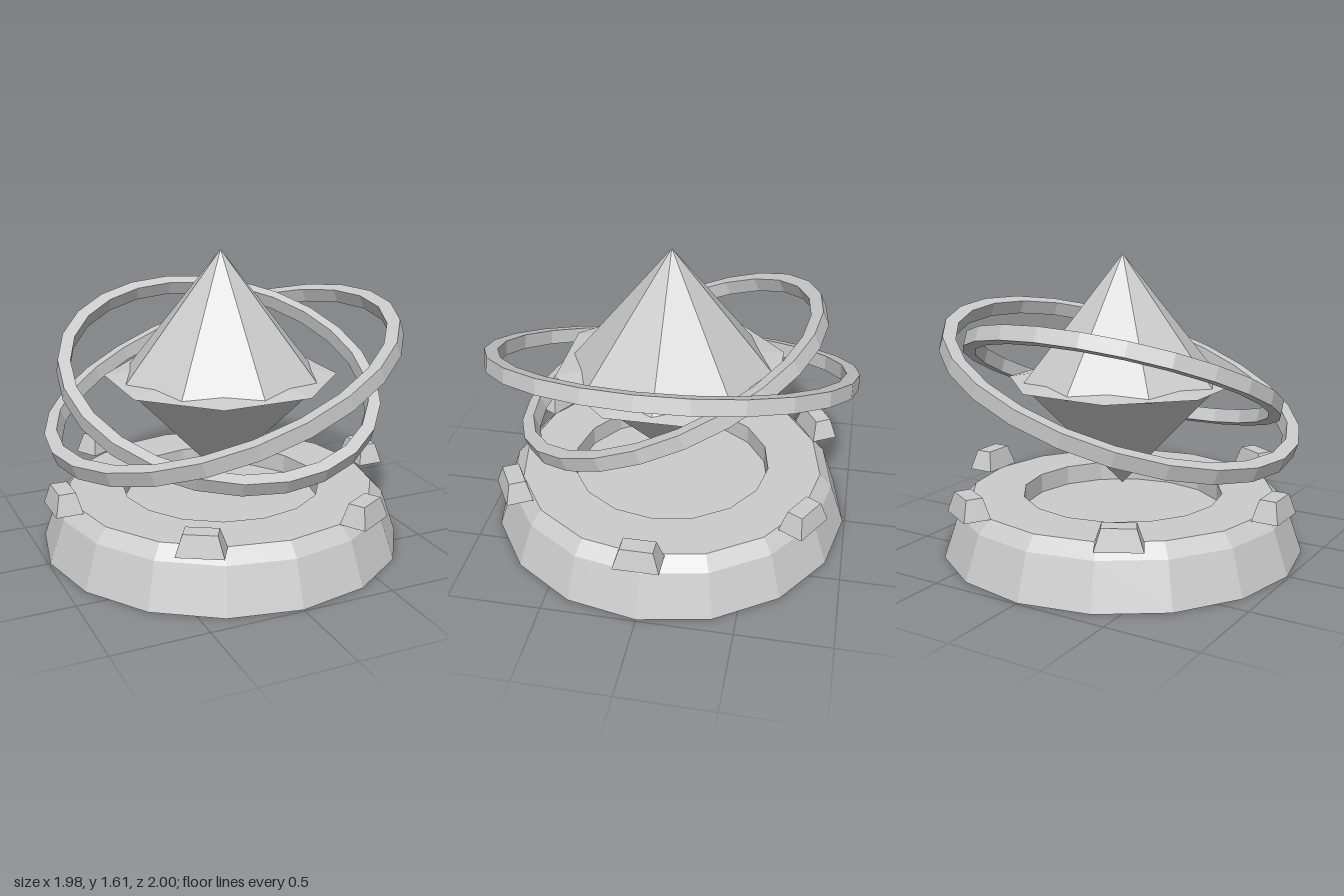
import * as THREE from 'three';

const stone = new THREE.MeshStandardMaterial({ color: 0xcccccc });
stone.name = 'grey stone';
stone.flatShading = true;
stone.side = THREE.DoubleSide;

const CENTRE_Y = 0.93;
const BASE_TOP = 0.307;
const FLOOR_Y = 0.2;

// Faceted solid of revolution from [radius, height] pairs
function lathe(name, points, sides) {
  const profile = points.map(([r, y]) => new THREE.Vector2(r, y));
  const mesh = new THREE.Mesh(new THREE.LatheGeometry(profile, sides), stone);
  mesh.name = name;
  return mesh;
}

// Flat band with a rectangular section
function ring(name, inner, outer, height) {
  const h = height / 2;
  const mesh = lathe(name, [[inner, -h], [outer, -h], [outer, h], [inner, h], [inner, -h]], 24);
  mesh.position.y = CENTRE_Y;
  return mesh;
}

// Block whose top is smaller than its foot
function taperedBlock(depth, height, width, topDepth, topWidth) {
  const geometry = new THREE.BoxGeometry(depth, height, width);
  const p = geometry.attributes.position;
  for (let i = 0; i < p.count; i++) {
    if (p.getY(i) > 0) {
      p.setX(i, Math.sign(p.getX(i)) * topDepth / 2);
      p.setZ(i, Math.sign(p.getZ(i)) * topWidth / 2);
    }
  }
  geometry.translate(0, height / 2, 0);
  geometry.computeVertexNormals();
  return geometry;
}

export function createModel() {
  const model = new THREE.Group();
  model.name = 'crystalPedestal';

  // Hollow base: sloping wall, bevel, top and the wall of the central well
  model.add(lathe('baseShell',
    [[0.99, 0], [0.908, 0.237], [0.84, BASE_TOP], [0.55, BASE_TOP], [0.55, FLOOR_Y]], 16));

  // Floor of the well, closing the base from below
  const floor = new THREE.Mesh(new THREE.CircleGeometry(0.92, 16).rotateX(-Math.PI / 2), stone);
  floor.name = 'baseFloor';
  floor.position.y = FLOOR_Y;
  model.add(floor);

  // Six blocks around the rim
  const blockGeometry = taperedBlock(0.145, 0.11, 0.24, 0.09, 0.17);
  for (let i = 0; i < 6; i++) {
    const angle = i * Math.PI / 3;
    const block = new THREE.Mesh(blockGeometry, stone);
    block.name = 'rimBlock' + (i + 1);
    block.position.set(0.904 * Math.cos(angle), BASE_TOP, 0.904 * Math.sin(angle));
    block.rotation.y = -angle;
    model.add(block);
  }

  // Crystal: two pyramids and a flat girdle turned half a facet
  const crystal = new THREE.Group();
  crystal.name = 'crystal';
  crystal.add(lathe('upperCrystal', [[0.555, 0.92], [0, 1.61]], 8));
  crystal.add(lathe('lowerCrystal', [[0, 0.348], [0.555, 0.93]], 8));
  const girdle = lathe('crystalGirdle', [[0, 0.83], [0.63, 0.93], [0, 1.03]], 8);
  girdle.rotation.y = Math.PI / 8;
  crystal.add(girdle);
  model.add(crystal);

  // Two tilted rings around the crystal
  const outerRing = ring('outerRing', 0.93, 1, 0.08);
  outerRing.rotation.z = THREE.MathUtils.degToRad(20);
  const innerRing = ring('innerRing', 0.81, 0.877, 0.08);
  innerRing.rotation.x = THREE.MathUtils.degToRad(24.2);
  model.add(outerRing, innerRing);

  return model;
}
